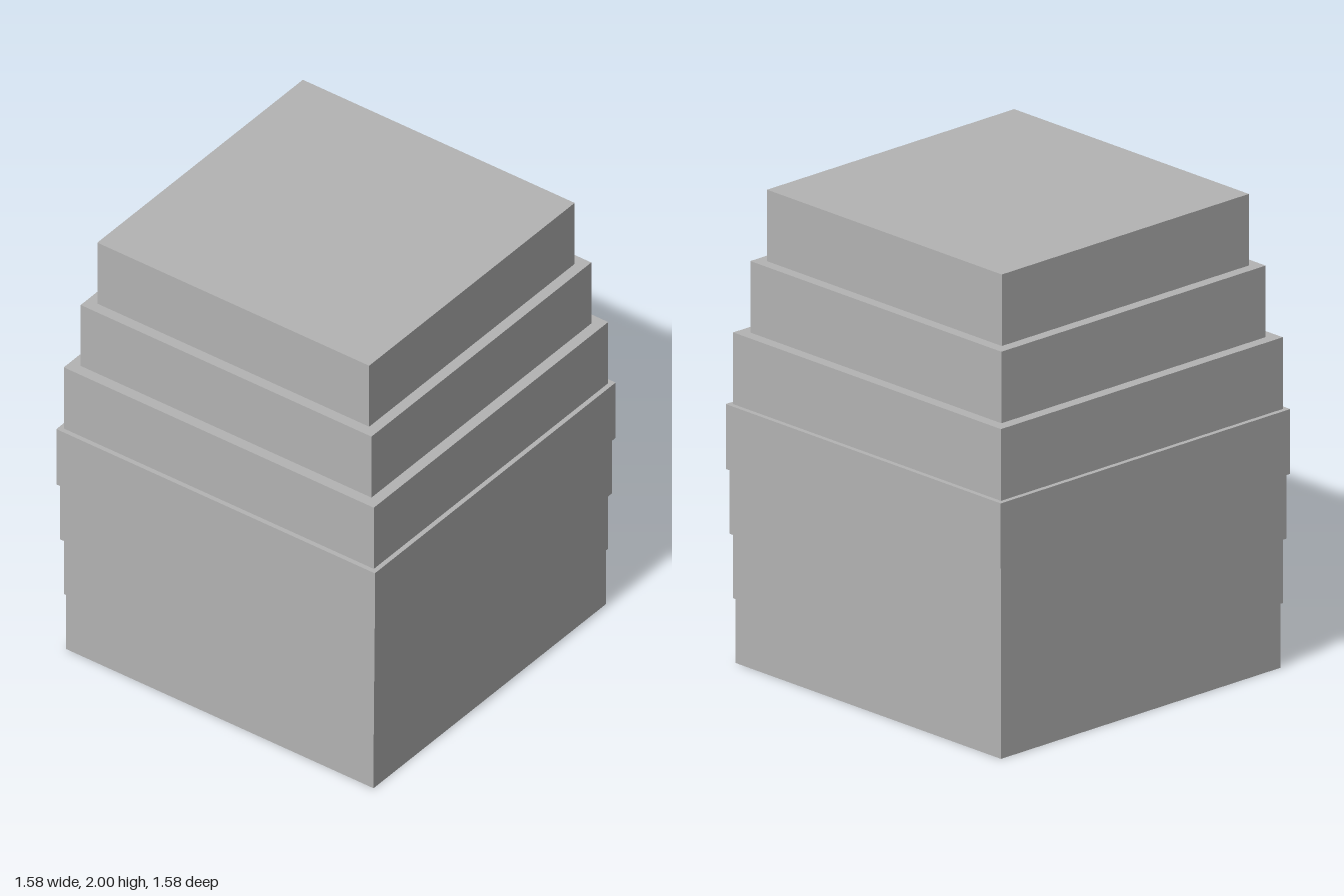
import * as THREE from 'three';

export function createModel() {
  const model = new THREE.Group();
  model.name = 'steppedBlock';
  const grey = new THREE.MeshStandardMaterial({ color: 0xb3b3b3 });
  grey.name = 'grey';

  // Square tiers from the base up: [width, height]
  const tiers = [
    [1.53, 0.273], [1.542, 0.273], [1.564, 0.273], [1.584, 0.274],
    [1.542, 0.303], [1.446, 0.302], [1.352, 0.302],
  ];

  let y = 0;
  tiers.forEach(([width, height], i) => {
    const tier = new THREE.Mesh(new THREE.BoxGeometry(width, height, width), grey);
    tier.name = `tier${i + 1}`;
    tier.position.y = y + height / 2;
    model.add(tier);
    y += height;
  });
  return model;
}
